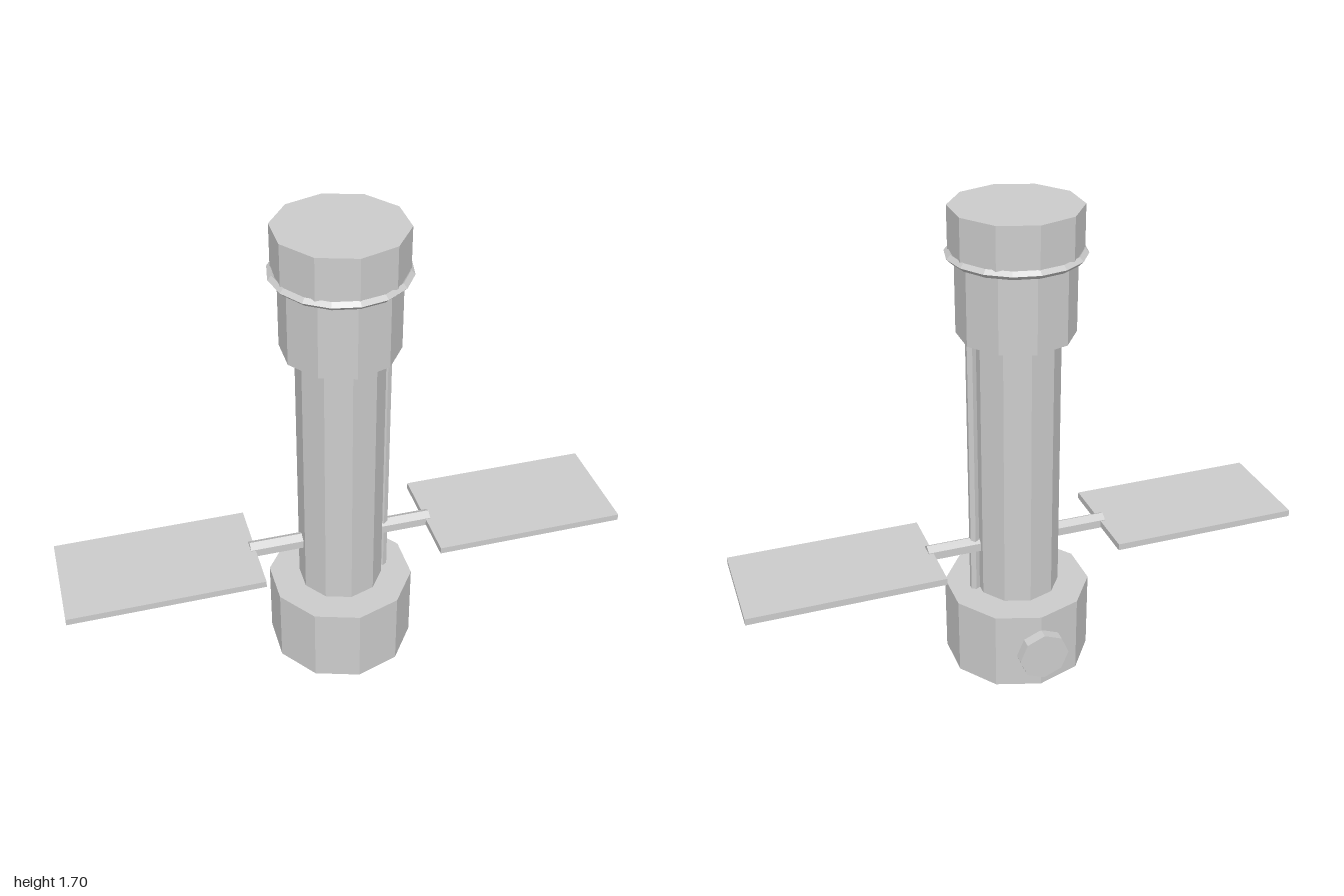
import * as THREE from 'three';

export function createModel() {
  const model = new THREE.Group();
  model.name = 'spaceTelescope';
  const grey = new THREE.MeshStandardMaterial({ color: 0xcccccc });
  grey.name = 'light grey';
  grey.flatShading = true;

  const AXIS_Z = 0.017; // the body axis sits slightly forward of centre

  const add = (name, geometry, x, y, z = AXIS_Z) => {
    const mesh = new THREE.Mesh(geometry, grey);
    mesh.name = name;
    mesh.position.set(x, y, z);
    model.add(mesh);
    return mesh;
  };

  // Upright prism between two heights
  const prism = (name, radius, bottom, top, sides = 10, x = 0) =>
    add(name, new THREE.CylinderGeometry(radius, radius, top - bottom, sides), x, (bottom + top) / 2);

  // Stacked ten-sided body
  prism('baseHousing', 0.26, 0, 0.29);
  prism('mainTube', 0.15, 0.29, 1.267);
  prism('upperHousing', 0.2, 1.267, 1.54);
  prism('topCap', 0.22, 1.54, 1.7);

  // Sharp-edged collar ring under the cap
  add('collarRing', new THREE.TorusGeometry(0.219, 0.014, 4, 16).rotateX(Math.PI / 2), 0, 1.545);

  // Slim rail running up the left side of the tube
  prism('sideRail', 0.018, 0.29, 1.254, 6, 0.159);

  // Mirrored booms and flat panels
  for (const side of [-1, 1]) {
    const word = side > 0 ? 'left' : 'right';
    const boom = new THREE.CylinderGeometry(0.03, 0.03, 0.2, 6)
      .rotateY(Math.PI / 6)
      .rotateZ(Math.PI / 2);
    add(word + 'Boom', boom, side * 0.233, 0.47);
    add(word + 'Panel', new THREE.BoxGeometry(0.684, 0.024, 0.382), side * 0.658, 0.47);
  }

  // Eight-sided hatch on the back of the base
  add('rearHatch', new THREE.CylinderGeometry(0.09, 0.09, 0.038, 8).rotateX(Math.PI / 2), 0, 0.145, -0.259);

  return model;
}
